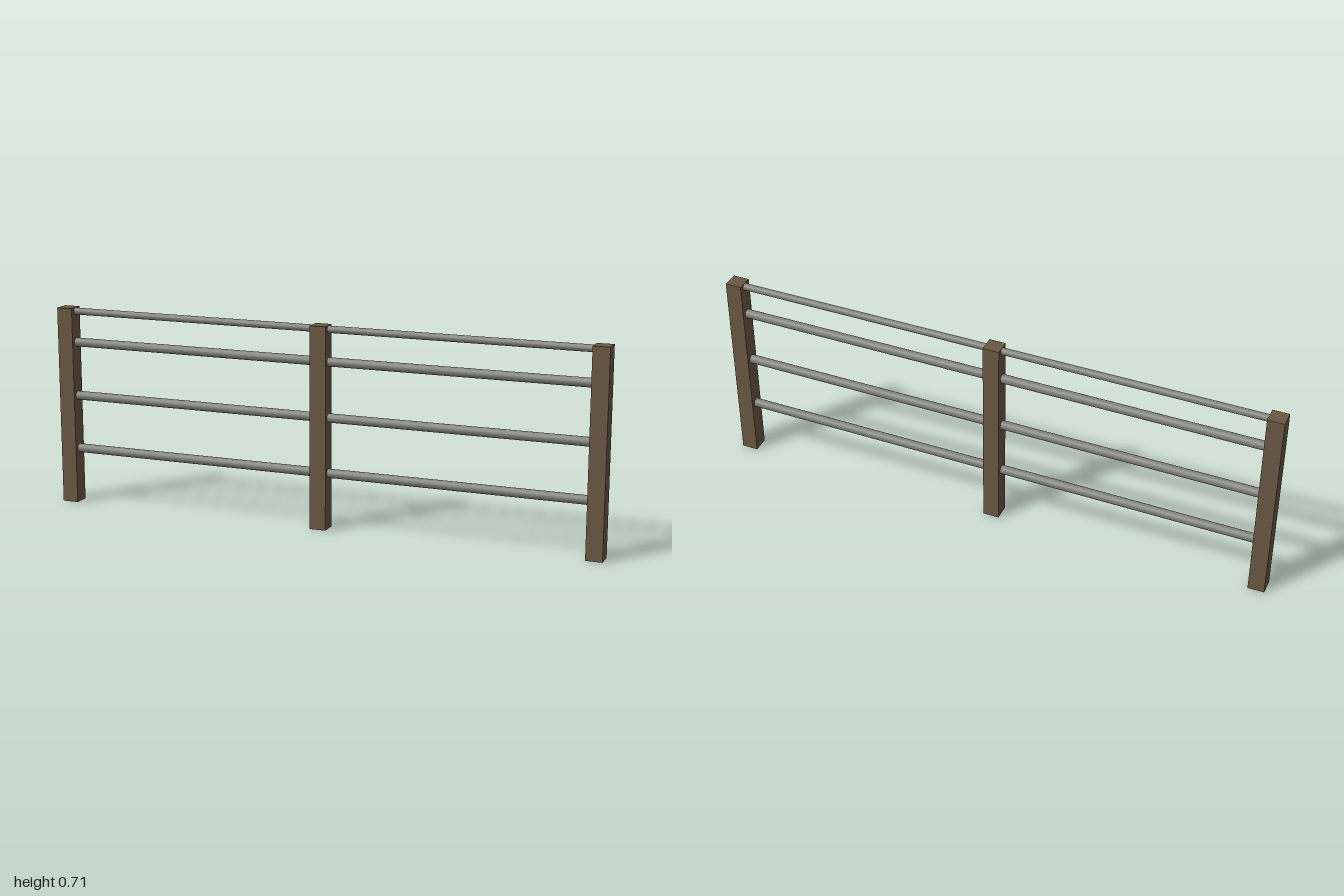
import * as THREE from 'three';

const POST_HEIGHT = 0.713;
const POST_WIDTH = 0.058;
const POST_X = 1 - POST_WIDTH / 2;

export function createModel() {
  const fence = new THREE.Group();
  fence.name = 'fence';
  const wood = new THREE.MeshStandardMaterial({ color: 0x6b5742 });
  const metal = new THREE.MeshStandardMaterial({ color: 0x80807a });

  // Three square posts
  const postGeometry = new THREE.BoxGeometry(POST_WIDTH, POST_HEIGHT, POST_WIDTH);
  [['rightPost', -POST_X], ['middlePost', 0], ['leftPost', POST_X]].forEach(([name, x]) => {
    const post = new THREE.Mesh(postGeometry, wood);
    post.name = name;
    post.position.set(x, POST_HEIGHT / 2, 0);
    fence.add(post);
  });

  // Round rails in both bays; the top one is thinner
  const rails = [
    ['lowerRail', 0.198, 0.016],
    ['middleRail', 0.393, 0.016],
    ['upperRail', 0.588, 0.016],
    ['topRail', 0.7, 0.0125],
  ];
  for (const [name, y, radius] of rails) {
    const geometry = new THREE.CylinderGeometry(radius, radius, POST_X, 16).rotateZ(Math.PI / 2);
    for (const side of [-1, 1]) {
      const rail = new THREE.Mesh(geometry, metal);
      rail.name = name + (side > 0 ? 'Left' : 'Right');
      rail.position.set(side * POST_X / 2, y, 0);
      fence.add(rail);
    }
  }
  return fence;
}
